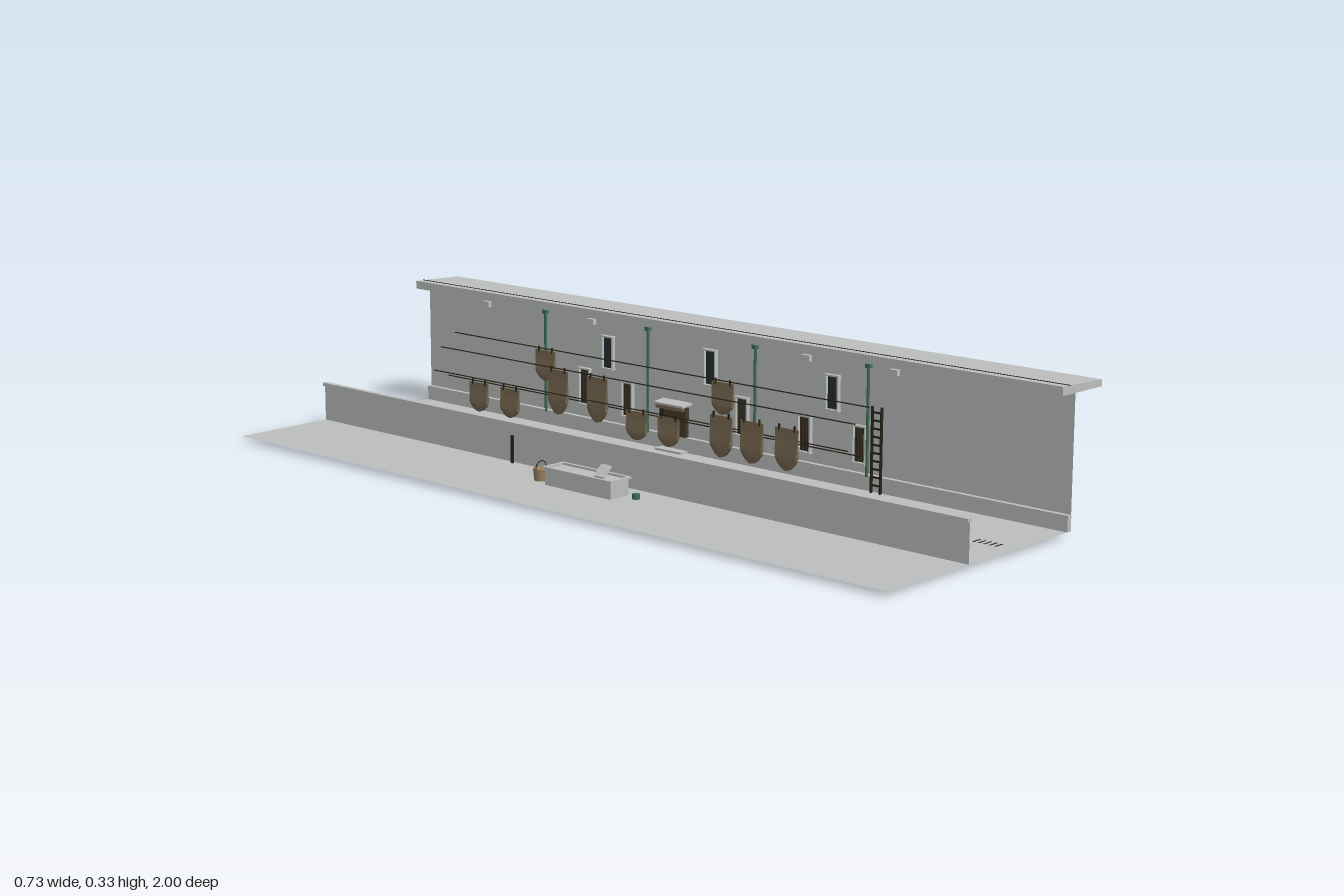
import * as THREE from 'three';

const mat = (name, color, side = THREE.FrontSide) => {
  const m = new THREE.MeshStandardMaterial({ color, side });
  m.name = name;
  return m;
};

export function createModel() {
  const model = new THREE.Group();
  model.name = 'alley';
  const plaster = mat('plaster', 0xbcbfbd, THREE.DoubleSide);
  const navy = mat('navy', 0x232f3b);
  const brown = mat('brown', 0x43392a);
  const cloth = mat('cloth', 0x75664f);
  const green = mat('green', 0x3c6b57);
  const dark = mat('darkWood', 0x272319);
  const tan = mat('tan', 0x9c8362);

  const add = (name, geo, material, parent = model) => {
    const m = new THREE.Mesh(geo, material);
    m.name = name;
    parent.add(m);
    return m;
  };
  // box given by its extents on each axis
  const box = (name, material, x0, x1, y0, y1, z0, z1, parent = model) => {
    const m = add(name, new THREE.BoxGeometry(x1 - x0, y1 - y0, z1 - z0), material, parent);
    m.position.set((x0 + x1) / 2, (y0 + y1) / 2, (z0 + z1) / 2);
    return m;
  };
  const G = 0.012; // ground level
  const W = 0.262; // main wall plane

  // ground sheet
  const ground = add('ground', new THREE.PlaneGeometry(W + 0.365, 2), plaster);
  ground.rotation.x = -Math.PI / 2;
  ground.position.set((W - 0.365) / 2, G, 0);

  // window bays: [z, bottom, top]
  const windows = [
    [0.435, 0.07, 0.155], [0.355, 0.18, 0.26], [0.275, 0.07, 0.155], [0.085, 0.08, 0.17],
    [-0.015, 0.185, 0.27], [-0.285, 0.07, 0.155], [-0.35, 0.18, 0.26], [-0.43, 0.08, 0.17],
  ];

  // main wall sheet, base course and roof slab
  const wall = add('mainWall', new THREE.PlaneGeometry(2, 0.31 - G), plaster);
  wall.rotation.y = Math.PI / 2;
  wall.position.set(W, (0.31 + G) / 2, 0);
  box('wallBase', plaster, 0.25, W + 0.001, G, 0.048, -1, 1);
  const roofShape = new THREE.Shape();
  [[0.215, 0.31], [0.36, 0.31], [0.36, 0.325], [0.215, 0.33]].forEach(([x, y], i) =>
    i ? roofShape.lineTo(x, y) : roofShape.moveTo(x, y));
  const roof = add('roof', new THREE.ExtrudeGeometry(roofShape, { depth: 2, bevelEnabled: false }), plaster);
  roof.position.z = -1;
  box('roofSeam', dark, 0.239, 0.242, 0.328, 0.3302, -1, 1);

  // bays behind the wall, with frames and panes on the alley side
  windows.forEach(([z, y0, y1], i) => {
    const g = new THREE.Group();
    g.name = 'window' + (i + 1);
    model.add(g);
    box('bay', navy, W + 0.0005, 0.302, y0, y1, z - 0.0175, z + 0.0175, g);
    box('pane', y0 > 0.15 ? navy : brown, W - 0.003, W - 0.0005, y0, y1, z - 0.0165, z + 0.0165, g);
    for (const s of [-1, 1]) {
      const zc = z + s * 0.0175;
      box('jamb', plaster, W - 0.01, W - 0.0005, y0, y1, zc - 0.002, zc + 0.002, g);
    }
    for (const y of [y0, y1]) box('sill', plaster, W - 0.012, W - 0.0005, y - 0.002, y + 0.002, z - 0.021, z + 0.021, g);
    for (const k of [-0.5, 0, 0.5]) {
      box('bar', dark, W - 0.005, W - 0.002, y0, y1, z + k * 0.018 - 0.001, z + k * 0.018 + 0.001, g);
    }
  });

  // doorway recess, side niche, door and canopy
  box('doorRecess', brown, W + 0.0005, 0.302, 0, 0.122, -0.16, -0.085);
  box('sideNiche', brown, W + 0.0005, 0.296, 0.052, 0.112, -0.18, -0.16);
  box('door', brown, W - 0.012, W - 0.0005, G, 0.12, -0.158, -0.087);
  box('niche', dark, W - 0.003, W - 0.0005, 0.052, 0.112, -0.18, -0.16);
  const canopy = box('canopy', plaster, 0.227, W, 0.126, 0.131, -0.17, -0.075);
  canopy.rotation.z = 0.12;
  box('canopyBeam', cloth, 0.229, 0.238, 0.115, 0.129, -0.165, -0.08);
  box('doorStep', plaster, 0.225, W, G, 0.017, -0.165, -0.08);

  // drain pipes with a hopper on top
  for (const z of [-0.555, -0.206, 0.134, 0.466]) {
    const pipe = add('drainPipe', new THREE.CylinderGeometry(0.0035, 0.0035, 0.255, 8), green);
    pipe.position.set(0.2455, 0.1725, z);
    box('pipeHopper', green, 0.2395, 0.2515, 0.294, 0.306, z - 0.006, z + 0.006);
  }
  // lamps under the eave
  for (const z of [-0.75, -0.38, 0.3, 0.55]) box('eaveLamp', plaster, 0.224, 0.235, 0.29, 0.304, z - 0.012, z + 0.012);

  // ladder against the main wall
  for (const z of [0.482, 0.508]) box('ladderRail', dark, 0.239, 0.245, G, 0.21, z - 0.002, z + 0.002);
  for (let i = 0; i < 10; i++) {
    const y = 0.03 + i * 0.0185;
    box('ladderRung', dark, 0.24, 0.244, y - 0.002, y + 0.002, 0.482, 0.508);
  }

  // low wall with coping, plank and hatch
  const low = add('lowWall', new THREE.PlaneGeometry(2, 0.09), plaster);
  low.rotation.y = Math.PI / 2;
  low.position.set(-0.098, G + 0.045, 0);
  box('coping', plaster, -0.105, -0.091, 0.1, 0.108, -1, 1);
  box('plank', dark, -0.1095, -0.1065, G, 0.079, -0.314, -0.306);

  // leaning steps behind the low wall
  for (let i = 0; i < 6; i++) {
    const y = 0.022 + i * 0.0106, z = -0.582 - i * 0.0085;
    box('step', dark, -0.085, -0.06, y - 0.0015, y + 0.0015, z - 0.002, z + 0.002);
  }

  // trough: four sides, floor and rim
  box('troughFloor', plaster, -0.207, -0.149, G, 0.02, -0.1, 0.105);
  for (const x of [-0.207, -0.154]) box('troughSide', plaster, x, x + 0.005, G, 0.05, -0.1, 0.105);
  for (const z of [-0.1, 0.1]) box('troughEnd', plaster, -0.207, -0.149, G, 0.05, z, z + 0.005);
  for (const x of [-0.211, -0.152]) box('troughRim', plaster, x, x + 0.008, 0.05, 0.055, -0.105, 0.11);
  for (const z of [-0.105, 0.102]) box('troughRimEnd', plaster, -0.211, -0.144, 0.05, 0.055, z, z + 0.008);
  box('troughLid', plaster, -0.205, -0.15, 0.046, 0.05, -0.1, 0.105);
  const board = add('washboard', new THREE.BoxGeometry(0.034, 0.005, 0.03), plaster);
  board.position.set(-0.184, 0.066, 0.06);
  board.rotation.z = 0.76;

  // bucket with handle, and a small pot
  const bucket = add('bucket', new THREE.CylinderGeometry(0.019, 0.016, 0.028, 14), tan);
  bucket.position.set(-0.18, G + 0.014, -0.14);
  const handle = add('bucketHandle', new THREE.TorusGeometry(0.017, 0.0012, 5, 12, Math.PI), dark);
  handle.position.set(-0.18, G + 0.028, -0.14);
  const pot = add('pot', new THREE.CylinderGeometry(0.009, 0.009, 0.012, 10), green);
  pot.position.set(-0.161, G + 0.006, 0.14);

  // washing lines
  const lines = [[0.02, 0.165], [0.045, 0.22], [0.068, 0.145], [0.092, 0.25]];
  for (const [x, y] of lines) {
    const l = add('washingLine', new THREE.CylinderGeometry(0.0014, 0.0014, 1.31, 6), dark);
    l.rotation.x = Math.PI / 2;
    l.position.set(x, y - 0.004, -0.065);
  }

  // hanging cloths: [x, top, bottom, z], thin at the line and fuller near a rounded hem
  const cloths = [
    [0.068, 0.145, 0.065, -0.61], [0.068, 0.145, 0.065, -0.5], [0.092, 0.25, 0.168, -0.4],
    [0.045, 0.22, 0.105, -0.31], [0.045, 0.22, 0.105, -0.18], [0.02, 0.165, 0.09, -0.03],
    [0.02, 0.165, 0.09, 0.07], [0.092, 0.25, 0.168, 0.17], [-0.003, 0.2, 0.098, 0.25],
    [-0.003, 0.2, 0.098, 0.34], [-0.003, 0.2, 0.098, 0.44],
  ];
  for (const [x, top, bottom, z] of cloths) {
    const h = top - bottom - 0.008;
    const geo = new THREE.BoxGeometry(1, 1, 1, 2, 8, 8);
    const p = geo.attributes.position;
    for (let i = 0; i < p.count; i++) {
      const t = 0.5 - p.getY(i); // 0 at the line, 1 at the hem
      const u = p.getZ(i) * 2;
      const thick = 0.002 + 0.008 * Math.sin(Math.PI * Math.pow(t, 2) * 0.8);
      p.setXYZ(i, p.getX(i) * thick, -t * h * (1 - 0.25 * u * u * t), u * 0.033 * (1 - 0.12 * t));
    }
    geo.computeVertexNormals();
    add('cloth', geo, cloth).position.set(x, top - 0.008, z);
    for (const s of [-1, 1]) box('peg', dark, x - 0.0015, x + 0.0015, top - 0.014, top, z + s * 0.022 - 0.002, z + s * 0.022 + 0.002);
  }

  // drain gratings set in the paving
  for (let i = 0; i < 6; i++) {
    for (let k = 0; k < 5; k++) {
      const z = -0.9 + i * 0.36 + k * 0.014;
      box('drainSlot', dark, 0.053, 0.079, 0.0095, 0.0125, z - 0.002, z + 0.002);
    }
  }
  return model;
}
